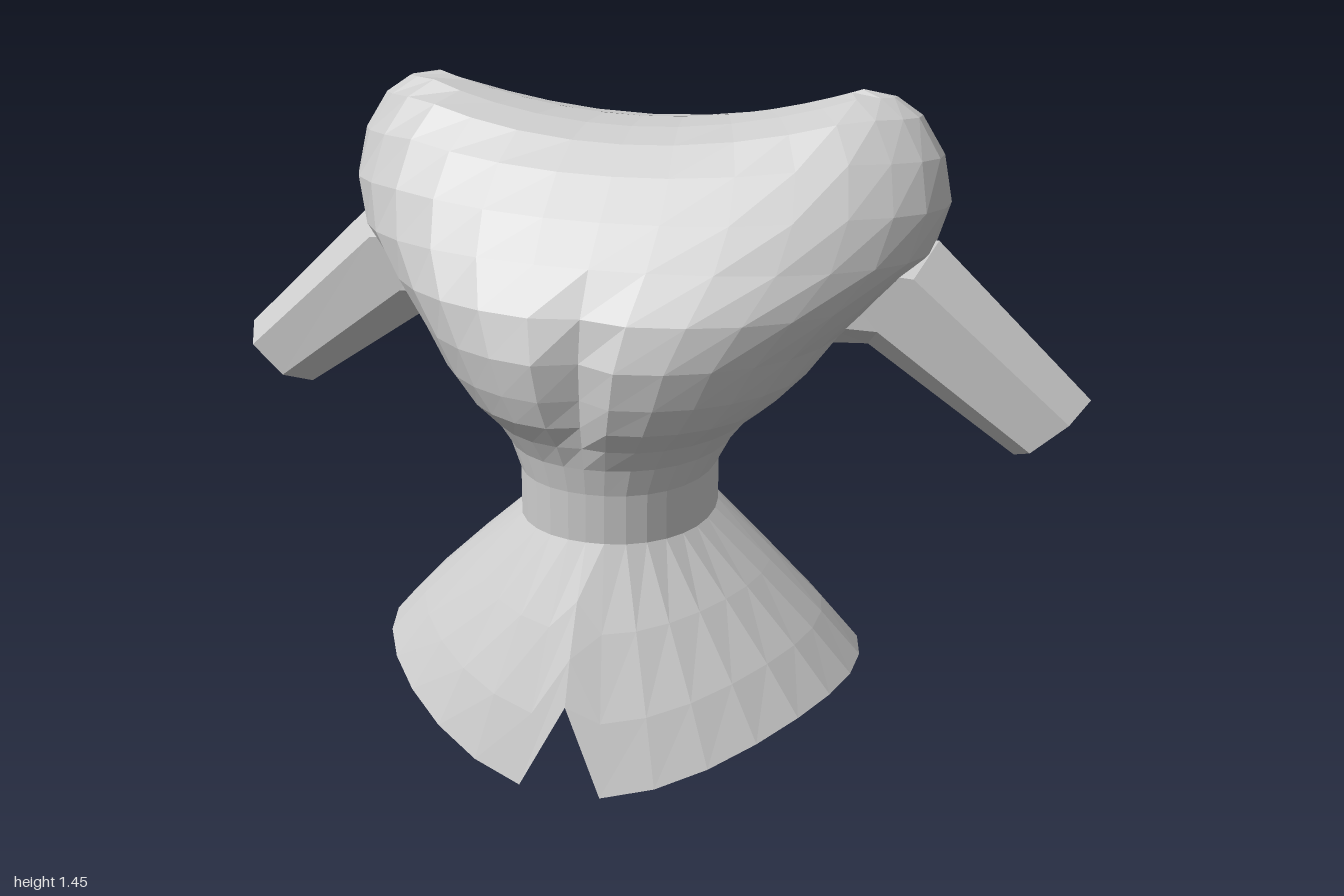
import * as THREE from 'three';

const material = new THREE.MeshStandardMaterial({
  color: 0xcccccc, flatShading: true, side: THREE.DoubleSide,
});

// Skin a stack of closed rings (each an array of [x, y, z]).
function loft(name, rings) {
  const n = rings[0].length;
  const index = [];
  for (let r = 0; r < rings.length - 1; r++) {
    for (let i = 0; i < n; i++) {
      const j = (i + 1) % n;
      const a = r * n + i, b = r * n + j, c = a + n, d = b + n;
      index.push(a, b, d, a, d, c);
    }
  }
  const geometry = new THREE.BufferGeometry();
  geometry.setAttribute('position', new THREE.Float32BufferAttribute(rings.flat(2), 3));
  geometry.setIndex(index);
  geometry.computeVertexNormals();
  const mesh = new THREE.Mesh(geometry, material);
  mesh.name = name;
  return mesh;
}

// Angles round the body, starting at the front and going towards +x.
// The first step is narrow so that it can carry the notch of the skirt.
const STEPS = 14;
const half = [0.165];
for (let i = 1; i < STEPS; i++) half.push(0.165 + (Math.PI - 0.165) * i / STEPS);
const ANGLES = [0, ...half, Math.PI, ...half.map((t) => 2 * Math.PI - t).reverse()];

const power = (v, p) => Math.sign(v) * Math.abs(v) ** p;

// Body section: half width, front and back depth, centre crease, saddle drop.
function section([y, w, front, back, crease = 0, drop = 0], p = 2.15) {
  const zc = THREE.MathUtils.clamp(0.02 - (y - 0.64) * 0.45, -0.15, 0.02);
  return ANGLES.map((t) => {
    const x = w * power(Math.sin(t), 2 / p);
    const c = power(Math.cos(t), 2 / p);
    let z = zc + c * (c > 0 ? front - zc : zc - back);
    if (c > 0) z -= crease * Math.exp(-((x / 0.05) ** 2));
    return [x, y - drop * (1 - Math.min(1, (x / 0.48) ** 2)), z];
  });
}

const WAIST = [0.215, 0.265, -0.23];

function bodice() {
  const rows = [
    [0.64, ...WAIST],
    [0.70, 0.245, 0.275, -0.235],
    [0.75, 0.285, 0.30, -0.245, 0.015],
    [0.80, 0.35, 0.335, -0.255, 0.04],
    [0.86, 0.41, 0.35, -0.27, 0.05],
    [0.94, 0.47, 0.355, -0.31, 0.05],
    [1.03, 0.56, 0.32, -0.345, 0.03],
    [1.12, 0.645, 0.235, -0.372],
    [1.22, 0.675, 0.16, -0.36, 0, 0.02],
    [1.32, 0.655, 0.08, -0.325, 0, 0.04],
    [1.40, 0.605, 0.01, -0.28, 0, 0.065],
    [1.437, 0.55, -0.06, -0.225, 0, 0.075],
    [1.45, 0.48, -0.15, -0.15, 0, 0.08],
  ];
  return loft('bodice', rows.map((row) => section(row)));
}

function waistBand() {
  return loft('waistBand', [section([0.53, ...WAIST]), section([0.64, ...WAIST])]);
}

// Flared skirt: dips at front and back, notched at the front.
function skirt() {
  const top = section([0.53, ...WAIST]);
  const hem = ANGLES.map((t, i) => {
    if (i === 0) return [0, 0.21, 0.41];
    const c = Math.cos(t);
    return [0.55 * Math.sin(t), 0.2 - (c > 0 ? 0.175 : 0.2) * Math.abs(c) ** 3, 0.46 * c];
  });
  const rings = [1, 0.7, 0.35, 0].map((k) => top.map((p, i) => {
    const bulge = 1 + 0.12 * k * (1 - k);
    const q = p.map((v, a) => THREE.MathUtils.lerp(v, hem[i][a], k));
    return [q[0] * bulge, q[1], q[2] * bulge];
  }));
  return loft('skirt', rings);
}

// Open six-sided sleeve, from inside the shoulder to the cuff.
function sleeve(name, side) {
  const rows = [
    // centre x, y, z; half height as x, y; half depth
    [0.44, 1.03, -0.13, 0.0, 0.13, 0.12],
    [0.585, 1.02, -0.145, 0.07, 0.12, 0.125],
    [0.92, 0.75, -0.14, 0.075, 0.07, 0.09],
  ];
  const mesh = loft(name, rows.map(([x, y, z, hx, hy, d]) =>
    Array.from({ length: 6 }, (_, i) => {
      const u = i * Math.PI / 3;
      const c = Math.cos(u);
      return [x + hx * c, y + hy * c, z + d * Math.sin(u)];
    })));
  mesh.scale.x = side;
  return mesh;
}

export function createModel() {
  const model = new THREE.Group();
  model.name = 'fittedTop';
  model.add(bodice(), waistBand(), skirt(), sleeve('leftSleeve', 1), sleeve('rightSleeve', -1));
  return model;
}
